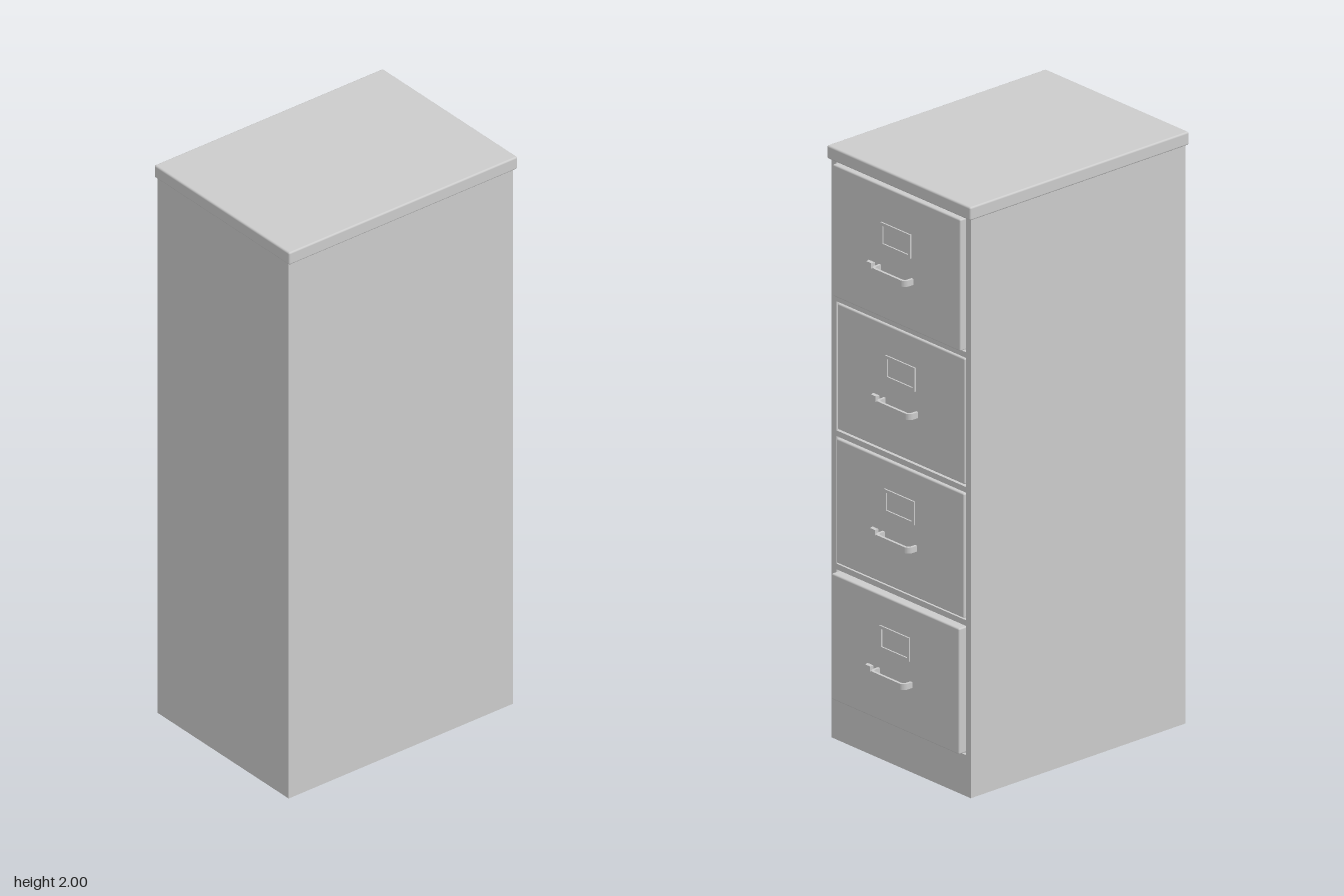
import * as THREE from 'three';
import { RoundedBoxGeometry } from 'three/addons/geometries/RoundedBoxGeometry.js';

const grey = new THREE.MeshStandardMaterial({ color: 0xcccccc });

function add(parent, name, geometry, x = 0, y = 0, z = 0) {
  const mesh = new THREE.Mesh(geometry, grey);
  mesh.name = name;
  mesh.position.set(x, y, z);
  parent.add(mesh);
  return mesh;
}

// Rectangle outline used for frames and their openings
function rect(Type, x0, y0, x1, y1) {
  const p = new Type();
  p.moveTo(x0, y0);
  p.lineTo(x1, y0);
  p.lineTo(x1, y1);
  p.lineTo(x0, y1);
  p.closePath();
  return p;
}

// U-shaped strap with rounded corners, seen from above: x across, y outwards
function handleGeometry() {
  const w = 0.08, d = 0.038, t = 0.009, r = 0.02, i = w - t, k = r - t;
  const s = new THREE.Shape();
  s.moveTo(w, -0.003);
  s.lineTo(w, d - r);
  s.absarc(w - r, d - r, r, 0, Math.PI / 2, false);
  s.lineTo(-w + r, d);
  s.absarc(-w + r, d - r, r, Math.PI / 2, Math.PI, false);
  s.lineTo(-w, -0.003);
  s.lineTo(-i, -0.003);
  s.lineTo(-i, d - r);
  s.absarc(-w + r, d - r, k, Math.PI, Math.PI / 2, true);
  s.lineTo(w - r, d - t);
  s.absarc(w - r, d - r, k, Math.PI / 2, 0, true);
  s.lineTo(i, -0.003);
  s.closePath();
  const g = new THREE.ExtrudeGeometry(s, { depth: 0.02, bevelEnabled: false, curveSegments: 8 });
  return g.rotateX(-Math.PI / 2).translate(0, -0.01, 0);
}

// Small tapered thumb latch
function latchGeometry() {
  const s = new THREE.Shape();
  s.moveTo(0.1, -0.003);
  s.lineTo(0.13, -0.003);
  s.lineTo(0.124, 0.014);
  s.lineTo(0.102, 0.014);
  s.closePath();
  const g = new THREE.ExtrudeGeometry(s, { depth: 0.018, bevelEnabled: false });
  return g.rotateX(-Math.PI / 2).translate(0, -0.009, 0);
}

function cardHolderGeometry() {
  const s = rect(THREE.Shape, -0.07, -0.04, 0.07, 0.04);
  s.holes.push(rect(THREE.Path, -0.06, -0.03, 0.06, 0.03));
  return new THREE.ExtrudeGeometry(s, { depth: 0.007, bevelEnabled: false }).translate(0, 0, -0.005);
}

export function createModel() {
  const cabinet = new THREE.Group();
  cabinet.name = 'filingCabinet';

  // Drawers: bottom, height, z of the outer face (two stand slightly open)
  const drawers = [
    [1.505, 0.445, -0.44],
    [1.05, 0.425, -0.421],
    [0.6, 0.42, -0.425],
    [0.145, 0.425, -0.445],
  ];

  // Shell, open underneath
  const H = 1.96;
  for (const side of [-1, 1]) {
    add(cabinet, side > 0 ? 'leftPanel' : 'rightPanel',
      new THREE.BoxGeometry(0.01, H, 0.895), side * 0.32, H / 2, 0.0275);
  }
  add(cabinet, 'plainEndPanel', new THREE.BoxGeometry(0.64, H, 0.01), 0, H / 2, 0.47);
  add(cabinet, 'floor', new THREE.BoxGeometry(0.635, 0.01, 0.88), 0, 0.145, 0.03);

  // Frame around the drawer openings
  const frame = rect(THREE.Shape, -0.32, 0, 0.32, H);
  for (const [y, h] of drawers) {
    frame.holes.push(rect(THREE.Path, -0.303, y - 0.006, 0.303, y + h + 0.005));
  }
  add(cabinet, 'drawerFrame',
    new THREE.ExtrudeGeometry(frame, { depth: 0.015, bevelEnabled: false }), 0, 0, -0.42);

  // Overhanging lid
  add(cabinet, 'lid', new RoundedBoxGeometry(0.67, 0.045, 0.912, 3, 0.006), 0, 1.9775, 0.025);

  // Drawers with card holder, handle and latch
  const handle = handleGeometry(), latch = latchGeometry(), holder = cardHolderGeometry();
  drawers.forEach(([y, h, z], n) => {
    const drawer = new THREE.Group();
    drawer.name = `drawer${n + 1}`;
    drawer.position.set(0, y, z);
    add(drawer, 'drawerFront', new RoundedBoxGeometry(0.596, h, 0.05, 3, 0.005), 0, h / 2, 0.025);
    add(drawer, 'cardHolder', holder, 0, 0.283, 0);
    add(drawer, 'handle', handle, 0, 0.167, 0);
    add(drawer, 'latch', latch, 0, 0.167, 0);
    cabinet.add(drawer);
  });

  return cabinet;
}
